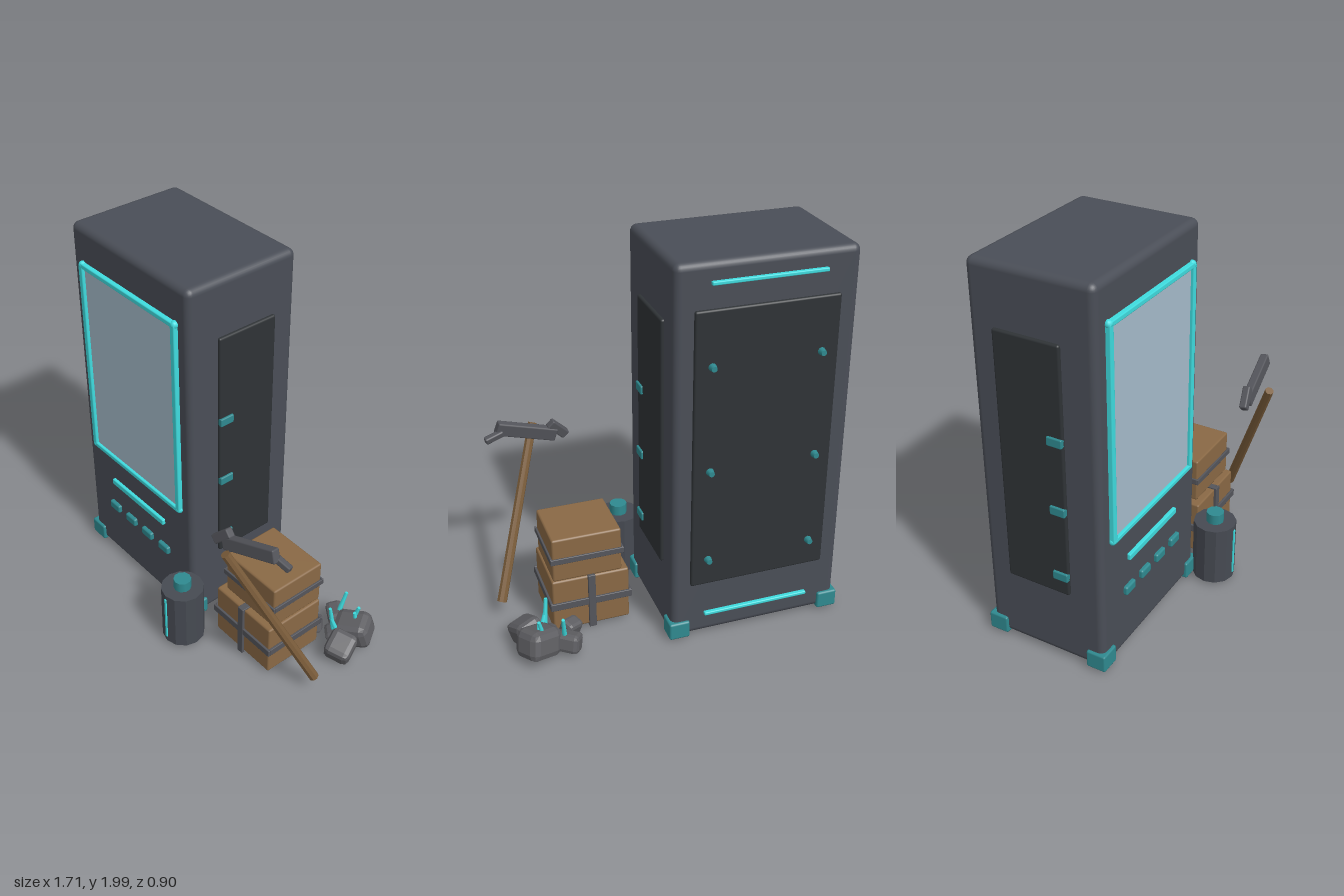
import * as THREE from 'three';
import { RoundedBoxGeometry } from 'three/addons/geometries/RoundedBoxGeometry.js';

const paint = (color, flatShading = false) => {
  const m = new THREE.MeshStandardMaterial({ color });
  m.flatShading = flatShading;
  return m;
};
const MAT = {
  body: paint(0x4a4e57),
  panel: paint(0x2f3336),
  teal: paint(0x2f8a90),
  glow: paint(0x3fdcdf),
  glass: paint(0xa6bccb),
  wood: paint(0x8a6945),
  handle: paint(0x7a5c3a, true),
  iron: paint(0x54555b),
  can: paint(0x464a52, true),
  rock: paint(0x5e5e62, true),
};

export function createModel() {
  const root = new THREE.Group();
  root.name = 'kioskWithMiningSupplies';

  const group = (name) => {
    const g = new THREE.Group();
    g.name = name;
    root.add(g);
    return g;
  };
  const add = (parent, name, geo, mat, x, y, z) => {
    const m = new THREE.Mesh(geo, mat);
    m.name = name;
    m.position.set(x, y, z);
    parent.add(m);
    return m;
  };
  // Box with softened edges
  const block = (parent, name, mat, [w, h, d], [x, y, z], r = 0.006, seg = 1) =>
    add(parent, name, new RoundedBoxGeometry(w, h, d, seg, r), mat, x, y, z);
  // Straight bar or cylinder between two points
  const between = (mesh, a, b) => {
    mesh.position.copy(a).add(b).multiplyScalar(0.5);
    mesh.quaternion.setFromUnitVectors(new THREE.Vector3(0, 1, 0), b.clone().sub(a).normalize());
    return mesh;
  };
  const V = (x, y, z) => new THREE.Vector3(x, y, z);

  // Cabinet
  const cx = -0.378, cz = -0.09;
  const cabinet = group('cabinet');
  block(cabinet, 'cabinetBody', MAT.body, [0.896, 1.976, 0.64], [cx, 1.012, cz], 0.035, 3);

  // Display and its glowing frame
  const display = group('display');
  block(display, 'displayBacking', MAT.panel, [0.71, 1.07, 0.02], [-0.377, 1.263, 0.225], 0.004);
  block(display, 'displayGlass', MAT.glass, [0.69, 1.07, 0.012], [-0.375, 1.263, 0.233], 0.003);
  for (const x of [-0.735, -0.018]) {
    block(display, 'frameSide', MAT.glow, [0.03, 1.09, 0.035], [x, 1.263, 0.237]);
    for (const y of [0.725, 1.805])
      add(display, 'frameCorner', new THREE.SphereGeometry(0.02, 10, 8), MAT.glow, x, y, 0.237);
  }
  for (const y of [0.725, 1.805])
    block(display, 'frameRail', MAT.glow, [0.72, 0.026, 0.035], [-0.377, y, 0.237]);

  // Light slot and buttons
  const controls = group('controls');
  block(controls, 'lightSlot', MAT.glow, [0.446, 0.034, 0.025], [-0.377, 0.543, 0.235]);
  for (let i = 0; i < 4; i++)
    block(controls, 'button', MAT.teal, [0.084, 0.048, 0.035], [-0.594 + i * 0.1445, 0.365, 0.233], 0.01, 2);

  // Side panels with hinges
  for (const s of [-1, 1]) {
    const side = group(s > 0 ? 'leftSidePanel' : 'rightSidePanel');
    block(side, 'sidePanel', MAT.panel, [0.03, 1.295, 0.34], [cx + s * 0.449, 1.058, -0.11], 0.01, 2);
    for (const y of [0.515, 0.877, 1.237])
      block(side, 'hinge', MAT.teal, [0.03, 0.045, 0.08], [cx + s * 0.46, y, 0.02]);
  }

  // Rear panel with bolts and light strips
  const rear = group('rearPanel');
  block(rear, 'rearPlate', MAT.panel, [0.71, 1.455, 0.03], [cx, 1.055, -0.411], 0.01, 2);
  for (const x of [-0.648, -0.108])
    for (const y of [0.475, 0.97, 1.51]) {
      const bolt = add(rear, 'bolt', new THREE.CylinderGeometry(0.014, 0.021, 0.035, 10), MAT.teal, x, y, -0.437);
      bolt.rotation.x = -Math.PI / 2;
    }
  for (const y of [0.145, 1.905])
    block(rear, 'rearLight', MAT.glow, [0.56, 0.018, 0.024], [cx, y, -0.421], 0.005);

  // Corner feet
  const feet = group('cornerFeet');
  for (const sx of [-1, 1])
    for (const sz of [-1, 1])
      block(feet, 'cornerFoot', MAT.teal, [0.108, 0.094, 0.105], [cx + sx * 0.409, 0.067, cz + sz * 0.283], 0.01);

  // Canister
  const canister = group('canister');
  const kx = 0.115, kz = 0.333;
  add(canister, 'canisterBody', new THREE.CylinderGeometry(0.111, 0.111, 0.325, 12), MAT.can, kx, 0.184, kz);
  add(canister, 'canisterCap', new THREE.CylinderGeometry(0.046, 0.046, 0.06, 10), MAT.teal, kx, 0.372, kz);
  block(canister, 'canisterGauge', MAT.glow, [0.014, 0.27, 0.014], [kx, 0.187, kz + 0.109], 0.003);

  // Strapped crates; every strap is a ring of bars around the crate
  const crates = group('crates');
  const crate = (x, y, z, w, h, d, strapY, strapH, t) => {
    block(crates, 'crate', MAT.wood, [w, h, d], [x, y, z], 0.01);
    for (const s of [-1, 1]) {
      block(crates, 'strapLong', MAT.iron, [w + 2 * t, strapH, t], [x, strapY, z + s * (d + t) / 2], 0.003);
      block(crates, 'strapShort', MAT.iron, [t, strapH, d], [x + s * (w + t) / 2, strapY, z], 0.003);
    }
  };
  crate(0.415, 0.173, 0.012, 0.402, 0.296, 0.345, 0.174, 0.04, 0.013);
  crate(0.43, 0.446, -0.004, 0.358, 0.242, 0.315, 0.446, 0.032, 0.011);
  for (const s of [-1, 1]) {
    block(crates, 'strapUpright', MAT.iron, [0.038, 0.315, 0.016], [0.413, 0.173, 0.012 + s * 0.18], 0.003);
    block(crates, 'strapAcross', MAT.iron, [0.038, 0.01, 0.36], [0.413, 0.173 + s * 0.152, 0.012], 0.003);
  }

  // Pickaxe
  const pick = group('pickaxe');
  const bar = (name, a, b, w, d) =>
    between(block(pick, name, MAT.iron, [w, a.distanceTo(b), d], [0, 0, 0], 0.008), a, b);
  const foot = V(0.832, 0.1, 0.073), top = V(0.545, 0.93, 0.412);
  between(add(pick, 'pickHandle', new THREE.CylinderGeometry(0.023, 0.026, foot.distanceTo(top), 8), MAT.handle, 0, 0, 0), foot, top);
  bar('pickHead', V(0.445, 0.89, 0.33), V(0.755, 0.995, 0.29), 0.07, 0.045);
  bar('pickBlade', V(0.39, 0.875, 0.34), V(0.475, 0.96, 0.32), 0.05, 0.04);
  bar('pickPoint', V(0.725, 0.97, 0.28), V(0.82, 0.943, 0.265), 0.034, 0.034);

  // Ore: chamfered, tilted stones as [size, position, rotation]
  const ore = group('orePile');
  const stones = [
    [[0.19, 0.15, 0.16], [0.73, 0.1, -0.31], [0.2, 0.5, 0.15]],
    [[0.14, 0.12, 0.15], [0.765, 0.085, -0.18], [0.4, 0.3, -0.3]],
    [[0.13, 0.1, 0.09], [0.585, 0.075, -0.325], [0.3, -0.6, 0.2]],
    [[0.1, 0.09, 0.08], [0.54, 0.06, -0.2], [-0.3, 0.5, 0.3]],
    [[0.1, 0.1, 0.1], [0.68, 0.08, -0.23], [0.2, 0.9, 0.4]],
  ];
  for (const [size, pos, rot] of stones)
    block(ore, 'stone', MAT.rock, size, pos, Math.min(...size) * 0.25).rotation.set(...rot);
  // Crystals growing from the stones
  const crystals = [
    [V(0.675, 0.11, -0.215), V(0.66, 0.265, -0.195)],
    [V(0.69, 0.12, -0.22), V(0.665, 0.2, -0.2)],
    [V(0.705, 0.13, -0.32), V(0.73, 0.235, -0.335)],
    [V(0.73, 0.14, -0.32), V(0.725, 0.21, -0.31)],
    [V(0.6, 0.09, -0.32), V(0.615, 0.24, -0.36)],
  ];
  for (const [a, b] of crystals)
    between(add(ore, 'crystal', new THREE.CylinderGeometry(0.009, 0.014, a.distanceTo(b), 6), MAT.glow, 0, 0, 0), a, b);

  return root;
}
